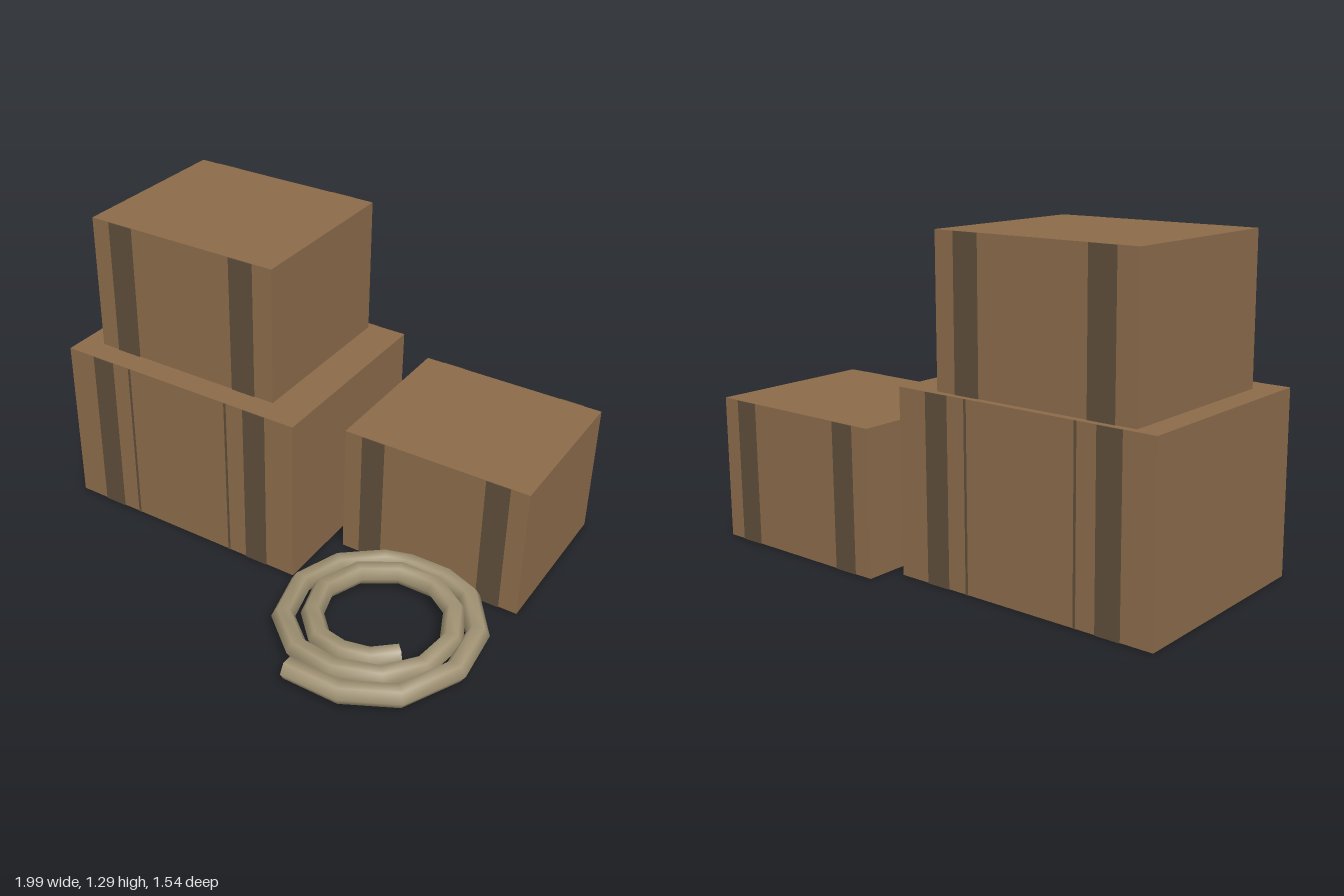
import * as THREE from 'three';

const cardboard = new THREE.MeshStandardMaterial({ color: 0x8b6b4a });
cardboard.name = 'crateBrown';
const dark = new THREE.MeshStandardMaterial({ color: 0x5f4e3b });
dark.name = 'strapDarkBrown';
const ropeTan = new THREE.MeshStandardMaterial({ color: 0xa09273, side: THREE.DoubleSide });
ropeTan.name = 'ropeTan';

// Box given by its minimum and maximum corners
function block(name, min, max, material) {
  const size = max.map((v, i) => v - min[i]);
  const mesh = new THREE.Mesh(new THREE.BoxGeometry(...size), material);
  mesh.position.set(...max.map((v, i) => (v + min[i]) / 2));
  mesh.name = name;
  return mesh;
}

// Crate with thin vertical plates on its front and back; each plate is [x0, x1]
function crate(name, min, max, straps, seams = []) {
  const group = new THREE.Group();
  group.name = name;
  group.add(block('crateBody', min, max, cardboard));
  const t = 0.004;
  for (const [label, list] of [['strap', straps], ['seam', seams]]) {
    for (const [x0, x1] of list) {
      group.add(block(label + 'Front', [x0, min[1], max[2]], [x1, max[1], max[2] + t], dark));
      group.add(block(label + 'Back', [x0, min[1], min[2] - t], [x1, max[1], min[2]], dark));
    }
  }
  return group;
}

// Six-sided tube swept along a flat path, with mitred joints
function ropeGeometry(path, y, radius) {
  const sides = 6, positions = [], index = [];
  const pts = path.map(([x, z]) => new THREE.Vector2(x, z));
  const dir = (a, b) => b.clone().sub(a).normalize();
  pts.forEach((p, i) => {
    const before = dir(pts[Math.max(i - 1, 0)], pts[Math.max(i, 1)]);
    const after = i < pts.length - 1 ? dir(p, pts[i + 1]) : before;
    const t = before.clone().add(after).normalize();
    const width = radius / t.dot(after);
    for (let j = 0; j < sides; j++) {
      const a = (j / sides) * Math.PI * 2;
      const w = Math.cos(a) * width;
      positions.push(p.x + t.y * w, y + Math.sin(a) * radius, p.y - t.x * w);
      if (i < pts.length - 1) {
        const k = (j + 1) % sides, r = i * sides, s = r + sides;
        index.push(r + j, r + k, s + j, r + k, s + k, s + j);
      }
    }
  });
  const geometry = new THREE.BufferGeometry();
  geometry.setAttribute('position', new THREE.Float32BufferAttribute(positions, 3));
  geometry.setIndex(index);
  geometry.computeVertexNormals();
  return geometry;
}

export function createModel() {
  const model = new THREE.Group();
  model.name = 'crateStackWithRope';

  // Crates
  model.add(crate('largeCrate', [-1, 0, -0.657], [0.11, 0.72, 0.21],
    [[-0.87, -0.77], [-0.12, -0.02]], [[-0.688, -0.68], [-0.21, -0.202]]));
  model.add(crate('upperCrate', [-0.905, 0.72, -0.628], [-0.05, 1.295, 0.106],
    [[-0.82, -0.71], [-0.243, -0.137]]));
  model.add(crate('smallCrate', [0.176, 0, -0.763], [0.974, 0.573, -0.073],
    [[0.255, 0.355], [0.795, 0.895]]));

  // Coiled rope, from the outer end to the inner end (x, z)
  const coil = [
    [0.425, 0.73], [0.65, 0.73], [0.84, 0.63], [0.95, 0.41], [0.93, 0.19], [0.81, 0.02],
    [0.68, -0.03], [0.52, -0.03], [0.42, 0.0], [0.275, 0.12], [0.21, 0.3], [0.26, 0.505],
    [0.4, 0.625], [0.57, 0.645], [0.74, 0.585], [0.84, 0.46], [0.865, 0.28], [0.8, 0.125],
    [0.67, 0.035], [0.51, 0.035], [0.37, 0.125], [0.305, 0.285], [0.345, 0.43],
    [0.44, 0.53], [0.55, 0.55], [0.655, 0.525], [0.74, 0.45],
  ];
  const rope = new THREE.Mesh(ropeGeometry(coil, 0.073, 0.044), ropeTan);
  rope.name = 'ropeCoil';
  model.add(rope);

  return model;
}
